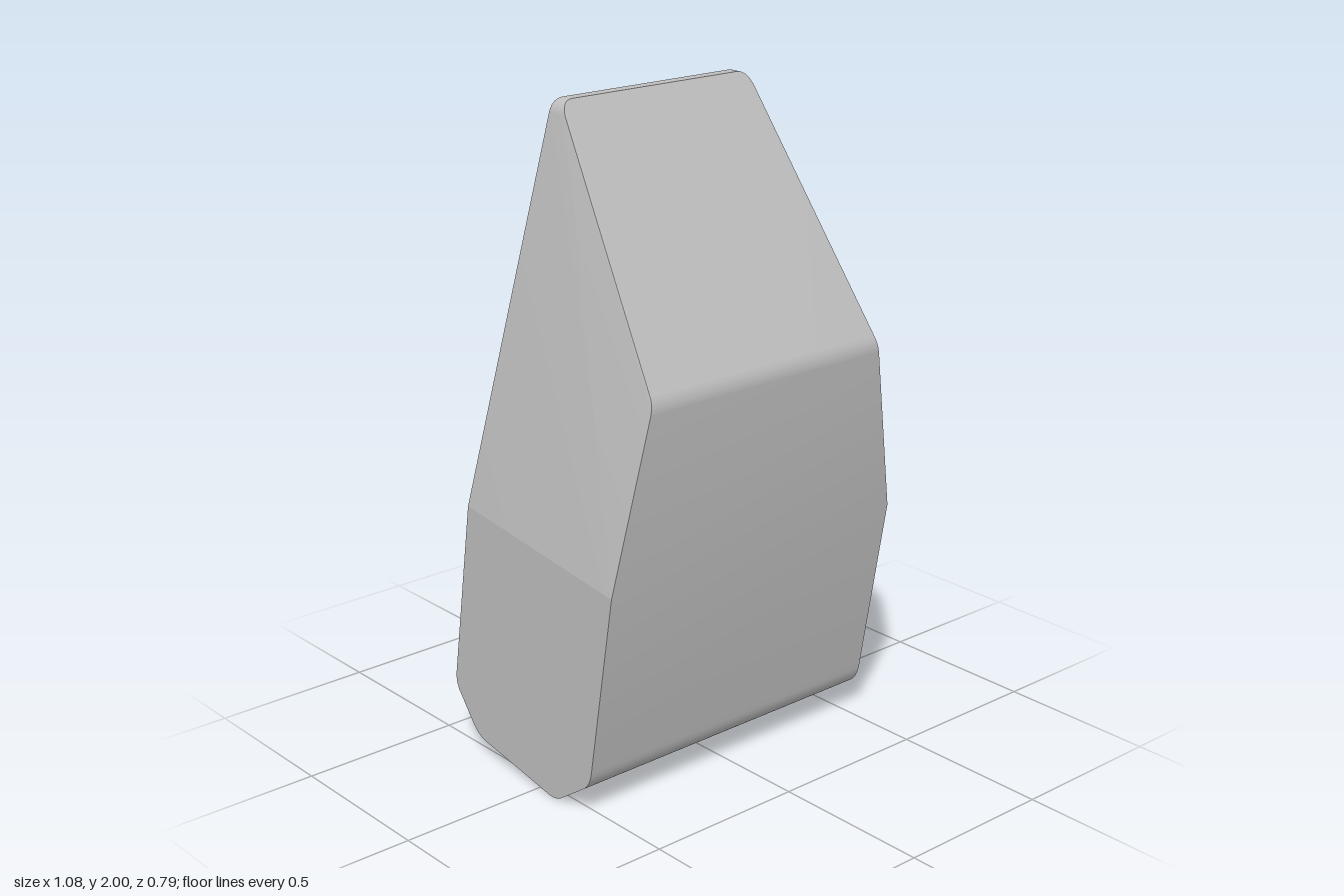
import * as THREE from 'three';
import { ConvexGeometry } from 'three/addons/geometries/ConvexGeometry.js';
import { toCreasedNormals } from 'three/addons/utils/BufferGeometryUtils.js';

// Points along a rounded corner b, from a to c
function roundCorner(a, b, c, steps) {
  const curve = new THREE.QuadraticBezierCurve3(
    new THREE.Vector3(...a), new THREE.Vector3(...b), new THREE.Vector3(...c));
  return curve.getPoints(steps);
}

export function createModel() {
  const group = new THREE.Group();
  group.name = 'taperedBlock';
  const grey = new THREE.MeshStandardMaterial({ color: 0xbdbdbd });
  grey.name = 'grey';

  const w = 0.54; // half width of the lower body
  const half = [
    // front edge: brow with a small round, then the lower fold
    ...roundCorner([0.425, 1.285, 0.381], [0.43, 1.26, 0.397], [0.436, 1.23, 0.394], 10),
    new THREE.Vector3(w, 0.72, 0.35),
    // rounded corners of the base
    ...roundCorner([w, 0.15, 0.252], [w, 0.105, 0.244], [w, 0.085, 0.213], 10),
    ...roundCorner([w, 0.018, 0.117], [w, -0.006, 0.083], [w, 0.004, 0.045], 10),
    ...roundCorner([w, 0.056, -0.25], [w, 0.062, -0.285], [w, 0.09, -0.31], 10),
    ...roundCorner([w, 0.18, -0.38], [w, 0.205, -0.396], [w, 0.235, -0.392], 10),
    // back fold
    new THREE.Vector3(w, 0.8, -0.304),
    // rounded top corners, lying in the front slope and in the back plane
    ...roundCorner([0.305, 2, -0.083], [0.341, 2, -0.083], [0.35, 1.96, -0.058], 16),
    ...roundCorner([0.305, 2, -0.121], [0.345, 2, -0.121], [0.352, 1.96, -0.127], 16),
  ];

  // mirror the outline and wrap it
  const points = half.flatMap((p) => [p, new THREE.Vector3(-p.x, p.y, p.z)]);
  const body = new THREE.Mesh(toCreasedNormals(new ConvexGeometry(points), 0.13), grey);
  body.name = 'body';
  group.add(body);
  return group;
}
